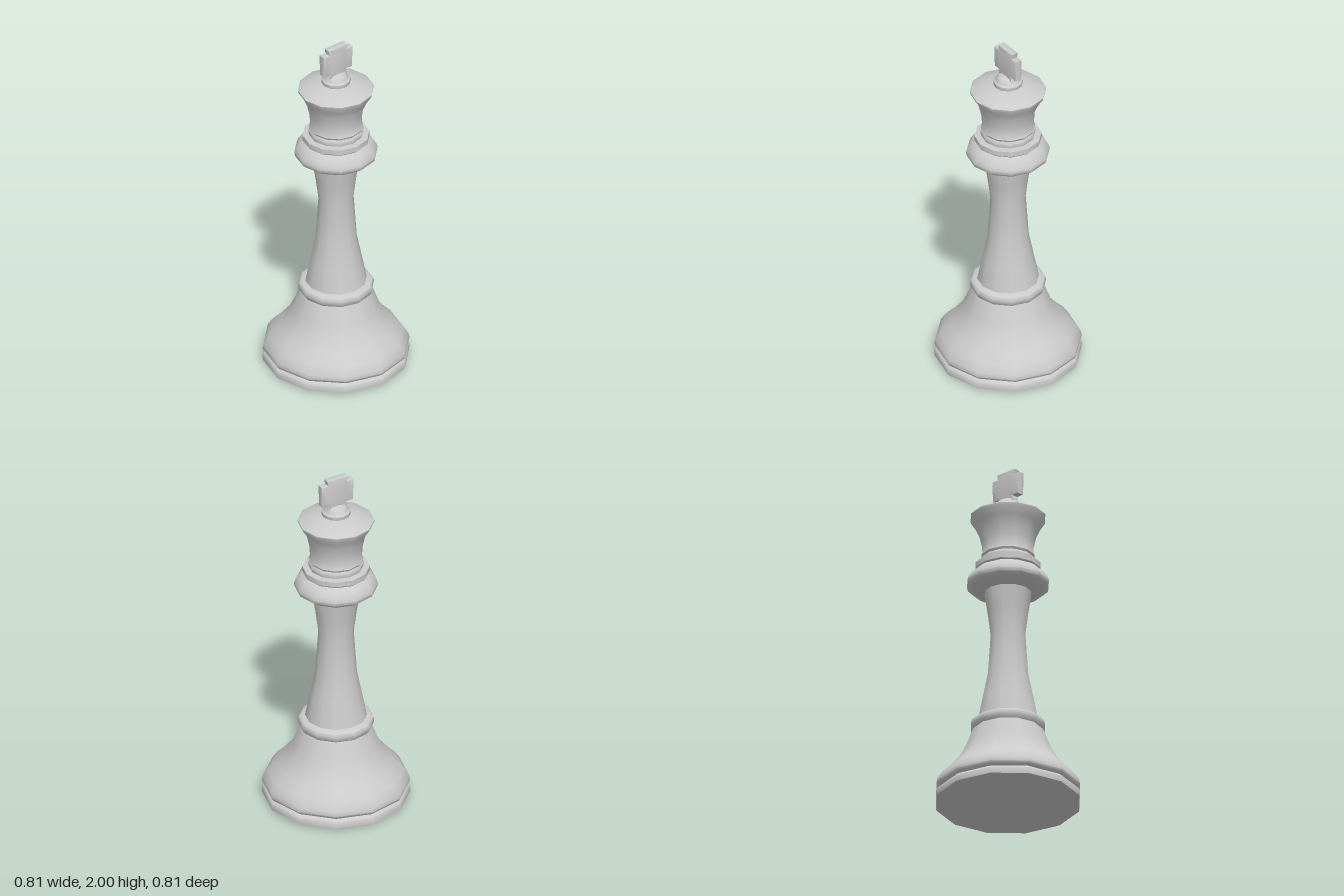
import * as THREE from 'three';
import { toCreasedNormals } from 'three/addons/utils/BufferGeometryUtils.js';

const SIDES = 12;
const material = new THREE.MeshStandardMaterial({ color: 0xcccccc });

// Twelve-sided turned part from [radius, height] pairs, listed bottom to top
function turned(name, profile) {
  const points = profile.map(([r, y]) => new THREE.Vector2(r, y));
  const geometry = toCreasedNormals(new THREE.LatheGeometry(points, SIDES), 0.75);
  const mesh = new THREE.Mesh(geometry, material);
  mesh.name = name;
  return mesh;
}

// Flat cross with stubby arms and softly bevelled edges
function crossTop() {
  const bevel = 0.007;
  const half = [[0.053, 1.82], [0.045, 1.85], [0.09, 1.85], [0.094, 1.963], [0.052, 1.963], [0.058, 1.993]];
  const outline = [...half, ...half.map(([x, y]) => [-x, y]).reverse()];
  const shape = new THREE.Shape(outline.map(([x, y]) => new THREE.Vector2(x, y)));
  const depth = 0.03;
  const geometry = new THREE.ExtrudeGeometry(shape, {
    depth, bevelEnabled: true, bevelThickness: bevel, bevelSize: bevel, bevelSegments: 2,
  });
  geometry.translate(0, 0, -depth / 2);
  const mesh = new THREE.Mesh(toCreasedNormals(geometry, 0.75), material);
  mesh.name = 'cross';
  return mesh;
}

export function createModel() {
  const group = new THREE.Group();
  group.name = 'chessKing';

  group.add(
    // Wide foot with a groove, flaring up to a rounded ring
    turned('base', [
      [0, 0], [0.39, 0.01], [0.403, 0.015], [0.405, 0.045], [0.398, 0.058], [0.385, 0.067],
      [0.398, 0.076], [0.405, 0.09], [0.4, 0.115], [0.37, 0.16], [0.32, 0.21], [0.27, 0.27],
      [0.235, 0.34], [0.205, 0.42], [0.196, 0.44], [0.206, 0.455], [0.209, 0.475],
      [0.203, 0.493], [0.188, 0.502], [0.15, 0.505],
    ]),
    // Slender waisted column
    turned('stem', [[0.17, 0.5], [0.142, 0.64], [0.114, 0.78], [0.097, 1.03], [0.112, 1.15], [0.132, 1.28]]),
    // Bulging collar with a flat band above
    turned('collar', [
      [0.1, 1.272], [0.16, 1.276], [0.2, 1.292], [0.225, 1.312], [0.23, 1.332], [0.222, 1.355],
      [0.2, 1.385], [0.176, 1.402], [0.184, 1.41], [0.184, 1.44], [0.13, 1.444],
    ]),
    // Crown with small rings at its foot and a sloping lid
    turned('crown', [
      [0.148, 1.44], [0.152, 1.465], [0.143, 1.48], [0.15, 1.492], [0.142, 1.51], [0.146, 1.57],
      [0.16, 1.63], [0.18, 1.675], [0.208, 1.718], [0.21, 1.73], [0.2, 1.738], [0.12, 1.762],
      [0.05, 1.776],
    ]),
    // Small stepped knob carrying the cross
    turned('finial', [
      [0.07, 1.76], [0.079, 1.77], [0.079, 1.79], [0.068, 1.798], [0.064, 1.812], [0.05, 1.826],
      [0.025, 1.833], [0, 1.835],
    ]),
    crossTop(),
  );
  return group;
}
